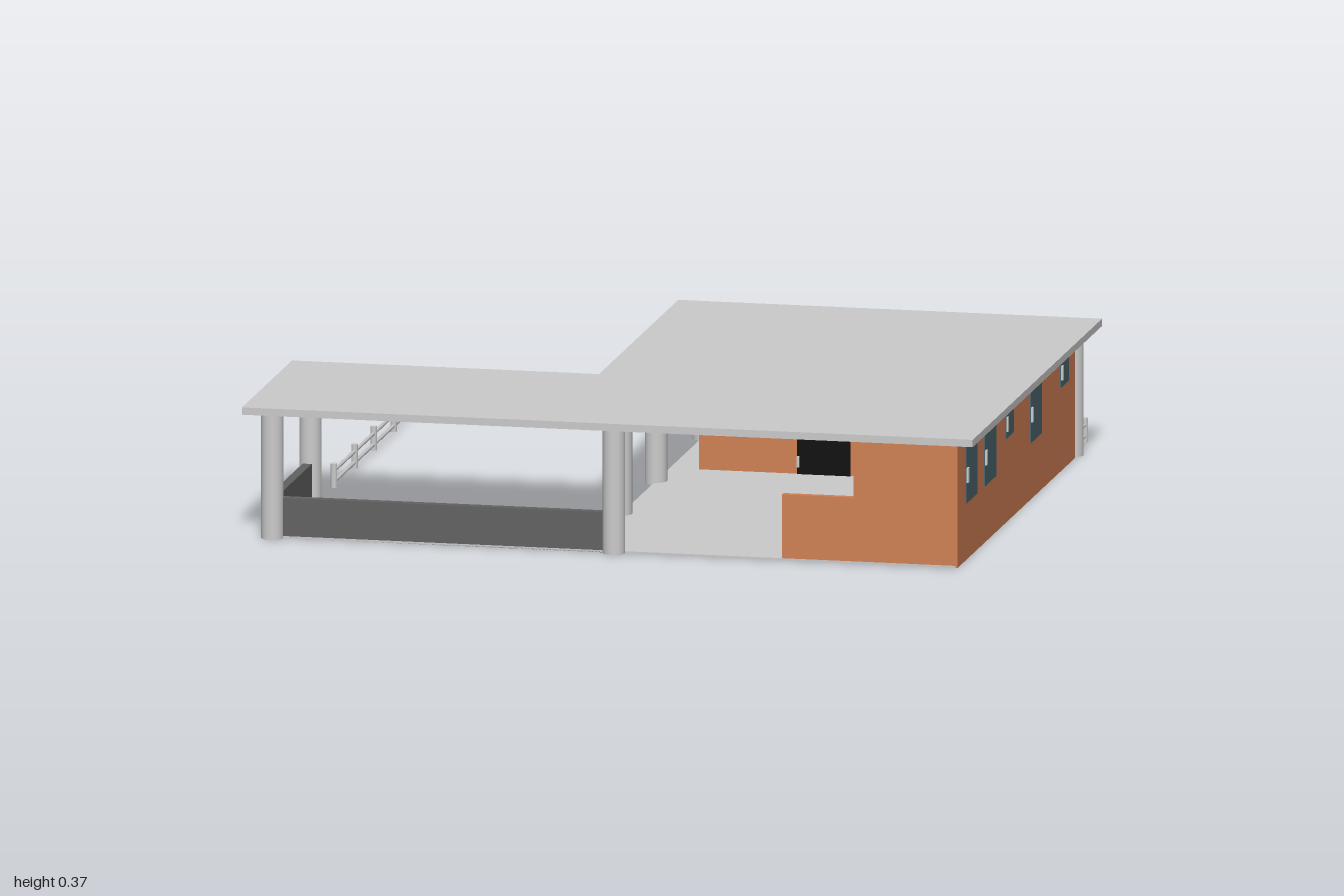
import * as THREE from 'three';

const mat = (color) => new THREE.MeshStandardMaterial({ color });

export function createModel() {
  const house = new THREE.Group();
  house.name = 'house';
  const grey = mat(0xcccccc), brick = mat(0xd08054), dark = mat(0x626262);
  const glass = mat(0x4c656d), black = mat(0x0c0c0c);

  const add = (name, geometry, material, parent = house) => {
    const mesh = new THREE.Mesh(geometry, material);
    mesh.name = name;
    parent.add(mesh);
    return mesh;
  };
  // Box given by its limits on each axis
  const box = (name, material, x0, x1, y0, y1, z0, z1, parent) =>
    add(name, new THREE.BoxGeometry(x1 - x0, y1 - y0, z1 - z0), material, parent)
      .position.set((x0 + x1) / 2, (y0 + y1) / 2, (z0 + z1) / 2);
  // Flat slab from a ground plan of [x, z] points
  const slab = (name, plan, y, height) => {
    const shape = new THREE.Shape(plan.map(([x, z]) => new THREE.Vector2(x, -z)));
    const geometry = new THREE.ExtrudeGeometry(shape, { depth: height, bevelEnabled: false });
    geometry.rotateX(-Math.PI / 2);
    add(name, geometry, grey).position.y = y;
  };
  const lPlan = (left, inner, right, back, notch, front) =>
    [[left, front], [right, front], [right, back], [inner, back], [inner, notch], [left, notch]];

  // L-shaped roof and floor
  const eaves = 0.345;
  slab('roof', lPlan(-1, -0.16, 1, -0.755, 0.24, 0.87), eaves, 0.02);
  slab('floor', lPlan(-0.93, -0.08, 0.94, -0.705, 0.33, 0.81), 0, 0.006);

  // Round pillars
  const pillars = [[-0.93, 0.81], [0.005, 0.81], [-0.93, 0.33], [-0.08, 0.33],
    [-0.08, -0.11], [-0.08, -0.705], [0.93, -0.705]];
  for (const [x, z] of pillars)
    add('pillar', new THREE.CylinderGeometry(0.03, 0.03, eaves, 24), grey).position.set(x, eaves / 2, z);

  // Brick walls around the rooms and the recessed entrance
  const t = 0.02;
  box('rightWall', brick, 0.945 - t, 0.945, 0, eaves, -0.67, 0.81);
  box('backWall', brick, 0, 0.945 - t, 0, eaves, -0.67, -0.67 + t);
  box('sideWall', brick, 0, t, 0, eaves, -0.67 + t, -0.28);
  box('entranceWall', brick, t, 0.68, 0, eaves, -0.28 - t, -0.28);
  box('recessWall', brick, 0.66, 0.66 + t, 0, eaves, -0.28, 0.81 - t);
  box('frontWall', brick, 0.66, 0.945 - t, 0, eaves, 0.81 - t, 0.81);
  box('frontHalfWall', brick, 0.465, 0.66, 0, 0.18, 0.81 - t, 0.81);

  // Low parapet around the porch
  box('porchFrontParapet', dark, -0.93, 0, 0, 0.11, 0.785, 0.81);
  box('porchSideParapet', dark, -0.945, -0.92, 0, 0.11, 0.33, 0.785);

  // Windows with a small handle, built facing +z and then turned
  const addWindow = (x, y, z, width, height, turn) => {
    const group = new THREE.Group();
    group.name = 'window';
    box('pane', glass, -width / 2, width / 2, -height / 2, height / 2, -0.004, 0.003, group);
    box('handle', grey, -width / 2, -width / 2 + 0.013, -0.02, 0.02, 0.003, 0.008, group);
    group.position.set(x, y, z);
    group.rotation.y = turn;
    house.add(group);
  };
  for (const z of [0.64, 0.405, -0.17]) addWindow(0.945, 0.233, z, 0.14, 0.155, Math.PI / 2);
  for (const z of [0.16, -0.53]) addWindow(0.945, 0.27, z, 0.1, 0.08, Math.PI / 2);
  addWindow(0.205, 0.228, -0.67, 0.14, 0.155, Math.PI);

  // Doors with hinges and a handle
  for (const x of [0.27, 0.535]) {
    const door = new THREE.Group();
    door.name = 'door';
    box('leaf', black, x, Math.min(x + 0.145, 0.66), 0.006, eaves, -0.285, -0.275, door);
    for (const y of [0.04, 0.18, 0.315]) box('hinge', grey, x, x + 0.006, y - 0.015, y + 0.015, -0.275, -0.27, door);
    if (x < 0.5) box('doorHandle', grey, x + 0.13, x + 0.145, 0.19, 0.225, -0.275, -0.268, door);
    house.add(door);
  }

  // Rail fence around the yard
  const fence = new THREE.Group();
  fence.name = 'fence';
  house.add(fence);
  const posts = [[0.93, -0.775]];
  for (const x of [0.93, 0.72, 0.485, 0.25, 0.04, -0.21, -0.44, -0.685, -0.905]) posts.push([x, -0.861]);
  for (const z of [-0.6, -0.35, -0.11, 0.15]) posts.push([-0.905, z]);
  for (const [x, z] of posts)
    add('fencePost', new THREE.CylinderGeometry(0.009, 0.009, 0.066, 12), grey, fence).position.set(x, 0.037, z);
  const corners = [[0.93, -0.72], [0.93, -0.861], [-0.905, -0.861], [-0.905, 0.15]]
    .map(([x, z]) => new THREE.Vector3(x, 0, z));
  for (const y of [0.02, 0.05]) {
    for (let i = 0; i < 3; i++) {
      const a = corners[i], b = corners[i + 1];
      const rail = add('fenceRail', new THREE.CylinderGeometry(0.005, 0.005, a.distanceTo(b), 8), grey, fence);
      rail.position.copy(a).add(b).multiplyScalar(0.5).setY(y);
      rail.quaternion.setFromUnitVectors(new THREE.Vector3(0, 1, 0), b.clone().sub(a).normalize());
    }
  }
  return house;
}
